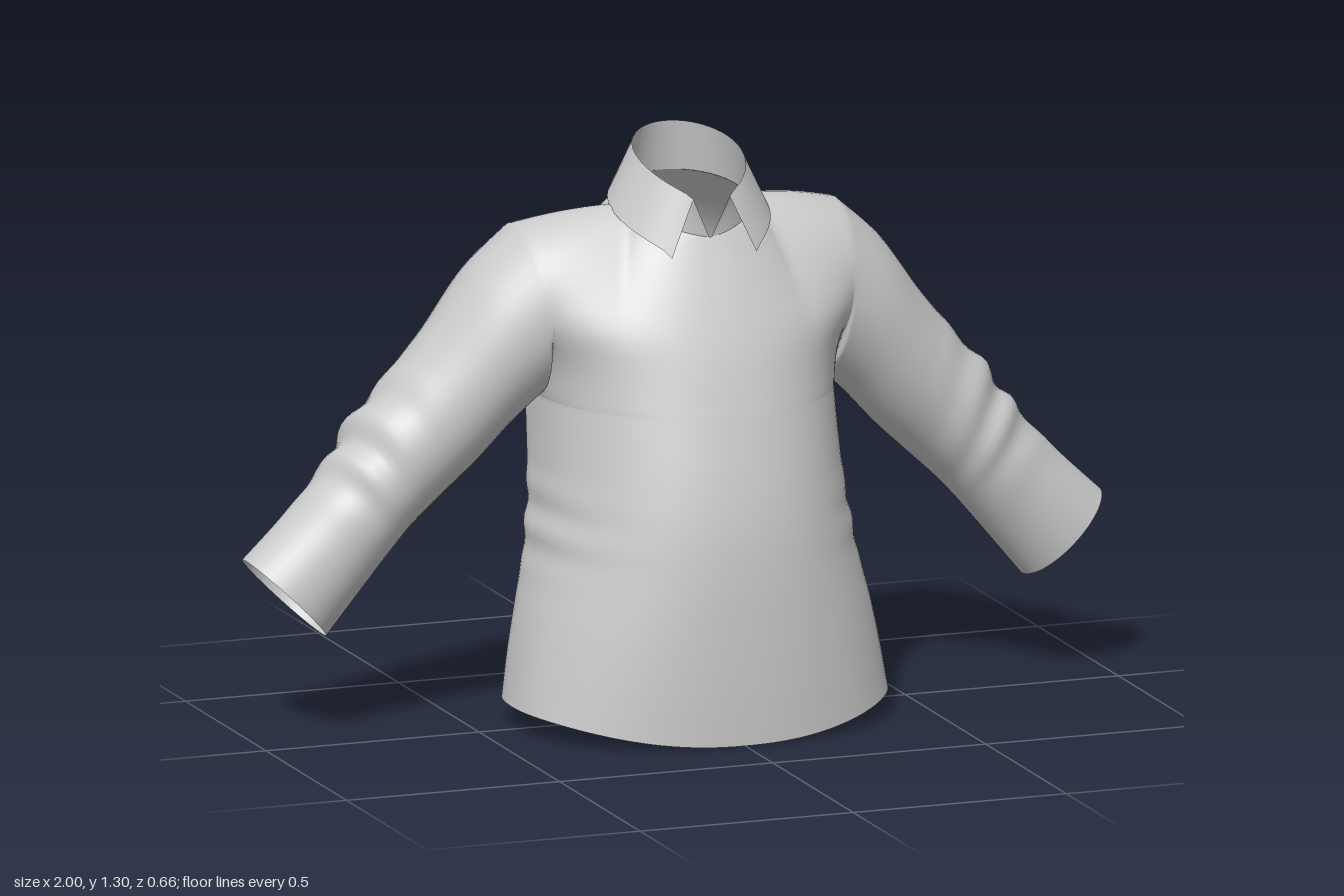
import * as THREE from 'three';
import { mergeGeometries, mergeVertices } from 'three/addons/utils/BufferGeometryUtils.js';

const { lerp, smoothstep } = THREE.MathUtils;
const HALF = Math.PI / 2;

// Smooth interpolation through rows of numbers, v in 0..1
function spline(keys, v) {
  const n = keys.length - 1;
  const i = Math.min(Math.floor(v * n), n - 1), f = v * n - i;
  const at = (k) => keys[Math.max(0, Math.min(n, k))];
  return keys[0].map((_, c) => {
    const [a, b, d, e] = [at(i - 1)[c], at(i)[c], at(i + 1)[c], at(i + 2)[c]];
    return b + 0.5 * f * (d - a + f * (2 * a - 5 * b + 4 * d - e + f * (3 * (b - d) + e - a)));
  });
}

// Surface patch from fn(u, v) -> [x, y, z]
function patch(fn, nu, nv, flip = false) {
  const pos = [], index = [];
  for (let j = 0; j <= nv; j++) for (let i = 0; i <= nu; i++) pos.push(...fn(i / nu, j / nv));
  for (let j = 0; j < nv; j++) for (let i = 0; i < nu; i++) {
    const a = j * (nu + 1) + i, b = a + 1, d = a + nu + 1, c = d + 1;
    if (flip) index.push(a, c, b, a, d, c);
    else index.push(a, b, c, a, c, d);
  }
  const g = new THREE.BufferGeometry();
  g.setAttribute('position', new THREE.Float32BufferAttribute(pos, 3));
  g.setIndex(index);
  return g;
}

// Sleeve rings: inner x, y, outer x, y, centre z, depth radius
const ARMPIT_Z = -0.105;
const SLEEVE = [
  [0.335, 0.73, 0.375, 1.112, ARMPIT_Z, 0.172],
  [0.40, 0.67, 0.475, 1.02, -0.115, 0.165],
  [0.475, 0.59, 0.57, 0.89, -0.122, 0.15],
  [0.55, 0.52, 0.645, 0.80, -0.13, 0.142],
  [0.62, 0.455, 0.74, 0.69, -0.135, 0.138],
  [0.675, 0.395, 0.812, 0.59, -0.13, 0.125],
  [0.75, 0.305, 0.905, 0.49, -0.127, 0.115],
  [0.82, 0.22, 1.0, 0.40, -0.125, 0.11],
];

function sleevePoint(a, v) {
  const [ix, iy, ox, oy, cz, rz] = spline(SLEEVE, v);
  const e = (1 - Math.cos(a)) / 2;
  // gathered folds around the elbow
  const fold = 0.007 * Math.sin(v * 48 + 2.5 * Math.sin(a)) * Math.exp(-(((v - 0.6) / 0.13) ** 2));
  return [lerp(ix, ox, e) + fold * e, lerp(iy, oy, e) + fold * e, cz + (rz + fold * 0.6) * Math.sin(a)];
}

// Lower body rows: y, half width, front z, back z, side z
const BODY = [
  [0, 0.43, 0.33, -0.31, 0.02],
  [0.12, 0.413, 0.333, -0.298, 0.005],
  [0.24, 0.392, 0.333, -0.283, -0.01],
  [0.36, 0.367, 0.33, -0.272, -0.035],
  [0.48, 0.35, 0.32, -0.272, -0.06],
  [0.60, 0.34, 0.298, -0.29, -0.085],
  [0.73, 0.335, 0.265, -0.318, ARMPIT_Z],
];
// Centre line of chest and back from armpit level to neck: y, z
const CHEST = [[0.73, 0.265], [0.85, 0.228], [0.965, 0.18], [1.1, 0.115]];
const BACK = [[0.73, -0.318], [0.87, -0.328], [1.04, -0.297], [1.185, -0.19]];

// Body cross-section, slightly squarer than an ellipse; t from -1 to 1 across a panel
const across = (t) => Math.sign(t) * Math.abs(Math.sin(t * HALF)) ** 0.9;
const depth = (t, power) => Math.max(0, Math.cos(t * HALF)) ** power;
const armpitPower = (front) => (front ? 0.88 : 0.75);

// Neck opening, angle 0 at the front
function neckPoint(a) {
  const m = (1 - Math.cos(a)) / 2;
  return [0.14 * Math.sin(a), 1.1 + 0.085 * m ** 0.6, -0.038 + 0.152 * Math.cos(a)];
}

function lowerPoint(t, v, front) {
  const [y0, w, zf, zb, zs] = spline(BODY, v);
  const x = across(t), c = depth(t, lerp(0.88, armpitPower(front), v));
  const y = y0 + 0.055 * (1 - c ** 3) * (1 - v) ** 2;
  // soft waist folds, strongest at the sides
  const fold = 0.014 * Math.sin(y0 * 62) * Math.exp(-(((y0 - 0.45) / 0.09) ** 2));
  const z = zs + ((front ? zf : zb) - zs) * c - (front ? 0 : 0.2 * fold * c);
  return [w * x * (1 + fold * x ** 4), y, z];
}

// Shoulder seam and neck edge
function seamPoint(t, front) {
  const neckPart = 0.42, q = Math.abs(t) / neckPart;
  if (q <= 1) return neckPoint(front ? t / neckPart * HALF : Math.PI - t / neckPart * HALF);
  const f = (Math.abs(t) - neckPart) / (1 - neckPart), [x, y, z] = neckPoint(HALF);
  const [sx, sy, sz] = SLEEVE[0].slice(2);
  return [Math.sign(t) * lerp(x, sx, f), lerp(y, sy, f) + 0.006 * Math.sin(f * Math.PI), lerp(z, sz, f)];
}

function yokeArc(t, s, front) {
  const e = (1 - Math.cos(s * Math.PI)) / 2;
  const [sx, sy, sz] = sleevePoint(front ? s * Math.PI : -s * Math.PI, 0);
  const [cy, cz] = spline(front ? CHEST : BACK, e);
  const k = depth(t, lerp(armpitPower(front), 1.8, smoothstep(e, 0, 0.7)));
  // the armhole edge pulls the panel outward, only gradually away from the edge
  const pull = lerp(smoothstep(e, 0, 0.5), 1, Math.abs(t) ** 12);
  const z = lerp(ARMPIT_Z, cz, k) + (sz - ARMPIT_Z) * (1 - k) * pull;
  return [sx * across(t), lerp(sy, cy, k), z];
}

function yokePoint(t, s, front) {
  const e = (1 - Math.cos(s * Math.PI)) / 2;
  const p = yokeArc(t, s, front), top = yokeArc(t, 1, front), seam = seamPoint(t, front);
  return p.map((c, i) => c + e ** 3 * (seam[i] - top[i]));
}

// Collar edges, u runs round the neck from front to front
function collarEdge(u, gap, rx, rz, y0, rise) {
  const a = lerp(gap, Math.PI * 2 - gap, u);
  const m0 = (1 - Math.cos(gap)) / 2, m = (1 - Math.cos(a)) / 2;
  const h = Math.max(0, (m - m0) / (1 - m0)) ** 0.6;
  return [rx * Math.sin(a), y0 + rise * h, -0.02 + rz * Math.cos(a)];
}
const foldEdge = (u) => collarEdge(u, 0.36, 0.121, 0.15, 1.19, 0.11);
const flapEdge = (u) => collarEdge(u, 0.59, 0.178, 0.19, 1.065, 0.125);
const mix = (a, b, v) => a.map((c, i) => lerp(c, b[i], v));

// Panel closing the body inside the hem, arched upward
function hemPanelPoint(u, v) {
  const t = u * 2 - 1;
  const [x, y, z] = mix(lowerPoint(t, 0.01, false), lowerPoint(t, 0.01, true), v);
  return [x, y + 0.075 * Math.cos(t * HALF) * Math.sin(v * Math.PI) ** 0.7, z];
}

export function createModel() {
  const group = new THREE.Group();
  const material = new THREE.MeshStandardMaterial({ color: 0xcccccc, side: THREE.DoubleSide });
  const add = (name, parts) => {
    const g = mergeVertices(mergeGeometries(parts), 1e-4);
    g.computeVertexNormals();
    const mesh = new THREE.Mesh(g, material);
    mesh.name = name;
    group.add(mesh);
  };

  // Body panels and both sleeves, welded into one smooth garment
  const parts = [];
  for (const front of [true, false]) {
    parts.push(patch((u, v) => lowerPoint(u * 2 - 1, v, front), 48, 44, !front));
    parts.push(patch((u, v) => yokePoint(u * 2 - 1, v, front), 48, 20, !front));
  }
  for (const side of [1, -1]) {
    parts.push(patch((u, v) => {
      const [x, y, z] = sleevePoint(u * Math.PI * 2, v);
      return [side * x, y, z];
    }, 40, 56, side > 0));
  }
  add('shirtBodyAndSleeves', parts);
  add('hemPanel', [patch(hemPanelPoint, 48, 16)]);

  // Collar: folded flap outside, stand facing inward
  add('collarFlap', [patch((u, v) => mix(flapEdge(u), foldEdge(u), v), 48, 4)]);
  add('collarStand', [patch((u, v) =>
    mix(neckPoint(lerp(0.02, Math.PI * 2 - 0.02, u)), foldEdge(u), v), 48, 4, true)]);
  return group;
}
